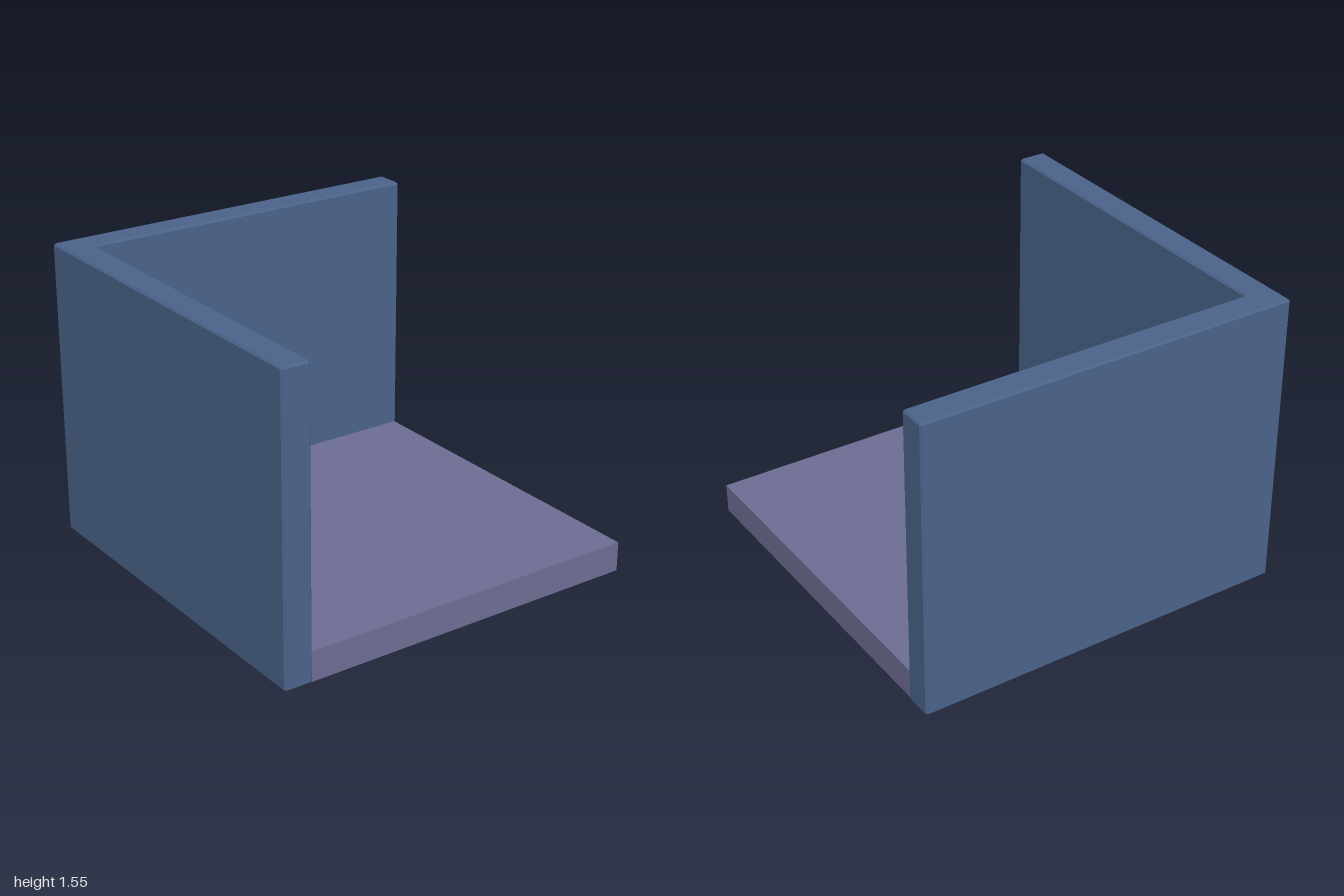
import * as THREE from 'three';

const HEIGHT = 1.55, WALL = 0.15, BEVEL = 0.01;

// Closed shape whose corners are all cut by a small chamfer
function chamferedShape(corners, cut) {
  const points = [];
  const n = corners.length;
  corners.forEach(([x, y], i) => {
    const p = new THREE.Vector2(x, y);
    for (const j of [(i + n - 1) % n, (i + 1) % n]) {
      const dir = new THREE.Vector2(...corners[j]).sub(p).normalize();
      points.push(p.clone().addScaledVector(dir, cut));
    }
  });
  return new THREE.Shape(points);
}

export function createModel() {
  const model = new THREE.Group();
  const wallMaterial = new THREE.MeshStandardMaterial({ color: 0x4a6289, flatShading: true });
  const floorMaterial = new THREE.MeshStandardMaterial({ color: 0x6c6c92, flatShading: true });

  // L-shaped corner wall: front wall and right wall in one piece (shape y is -z)
  const inner = -1 + WALL;
  const outline = chamferedShape(
    [[-1, -1], [1, -1], [1, inner], [inner, inner], [inner, 1], [-1, 1]], BEVEL);
  const wallGeometry = new THREE.ExtrudeGeometry(outline, {
    depth: HEIGHT - 2 * BEVEL,
    bevelThickness: BEVEL, bevelSize: BEVEL, bevelOffset: -BEVEL, bevelSegments: 1,
  });
  wallGeometry.rotateX(-Math.PI / 2).translate(0, BEVEL, 0);
  const walls = new THREE.Mesh(wallGeometry, wallMaterial);
  walls.name = 'cornerWalls';
  model.add(walls);

  // Floor slab fitted inside the corner
  const floorEnd = 0.99, floorHeight = 0.155;
  const span = floorEnd - inner;
  const floor = new THREE.Mesh(new THREE.BoxGeometry(span, floorHeight, span), floorMaterial);
  floor.name = 'floorSlab';
  floor.position.set((floorEnd + inner) / 2, floorHeight / 2, -(floorEnd + inner) / 2);
  model.add(floor);

  return model;
}
